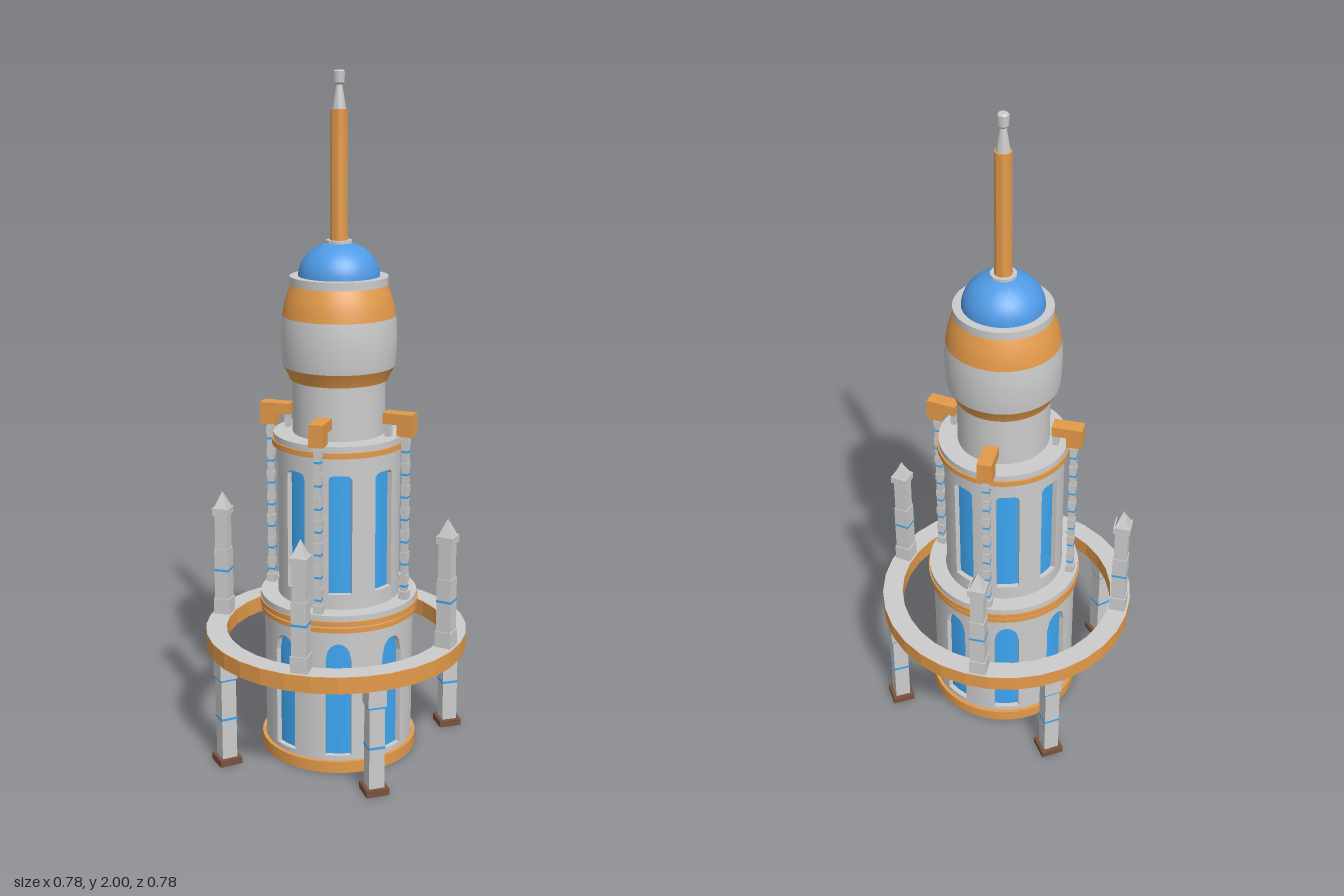
import * as THREE from 'three';
import { mergeGeometries, toCreasedNormals } from 'three/addons/utils/BufferGeometryUtils.js';

const RAD = Math.PI / 180;
const mat = (color, extra = {}) => new THREE.MeshStandardMaterial({ color, ...extra });
const GREY = mat(0xcccccc), GOLD = mat(0xe39a4a), DOME = mat(0x4f9be6);
const GLASS = mat(0x3ea6f2), BROWN = mat(0x7a5240);

function add(parent, name, geometry, material, x = 0, y = 0, z = 0) {
  const mesh = new THREE.Mesh(geometry, material);
  mesh.name = name;
  mesh.position.set(x, y, z);
  parent.add(mesh);
  return mesh;
}

// Turned part; profile runs from bottom to top as [radius, height]
function turned(parent, name, material, profile, segments = 48) {
  const points = profile.map(([r, y]) => new THREE.Vector2(r, y));
  return add(parent, name, toCreasedNormals(new THREE.LatheGeometry(points, segments), 0.6), material);
}

const disc = (parent, name, material, r, y0, y1) =>
  turned(parent, name, material, [[0, y0], [r, y0], [r, y1], [0, y1]]);

const box = (parent, name, material, w, h, d, x, y, z) =>
  add(parent, name, new THREE.BoxGeometry(w, h, d), material, x, y, z);

// Group turned so that its +z points outward at the given angle
function outward(parent, name, angle) {
  const g = new THREE.Group();
  g.name = name;
  g.rotation.y = angle * RAD;
  parent.add(g);
  return g;
}

// Round wall with eight openings, made of narrow curved strips.
// head(t) gives the top of the opening, t from -1 to 1 across it.
function windowWall(radius, depth, bottom, top, sill, halfAngle, turn, head) {
  const pieces = [];
  const strip = (a0, a1, low0, low1, high) => {
    const s = new THREE.Shape([[a0, low0], [a1, low1], [a1, high], [a0, high]].map(p => new THREE.Vector2(...p)));
    pieces.push(new THREE.ExtrudeGeometry(s, { depth, bevelEnabled: false }));
  };
  const n = 10, pier = 45 - 2 * halfAngle;
  for (let bay = 0; bay < 8; bay++) {
    const mid = turn + bay * 45;
    for (let i = 0; i < n; i++) {
      const t0 = -1 + 2 * i / n, t1 = -1 + 2 * (i + 1) / n;
      const a0 = mid + t0 * halfAngle, a1 = mid + t1 * halfAngle;
      strip(a0, a1, bottom, bottom, sill);
      strip(a0, a1, head(t0), head(t1), top);
    }
    for (let i = 0; i < 5; i++) {
      const a = mid + halfAngle + pier * i / 5;
      strip(a, a + pier / 5, bottom, bottom, top);
    }
  }
  const geometry = mergeGeometries(pieces);
  const p = geometry.attributes.position;
  for (let i = 0; i < p.count; i++) {
    const a = p.getX(i) * RAD, r = radius - depth + p.getZ(i);
    p.setXYZ(i, Math.sin(a) * r, p.getY(i), Math.cos(a) * r);
  }
  return toCreasedNormals(geometry, 0.5);
}

function buildTower(parent) {
  const tower = outward(parent, 'tower', 0);
  tower.position.x = 0.01;

  // Lower storey
  disc(tower, 'basePlinth', GOLD, 0.233, 0, 0.035);
  disc(tower, 'lowerGlass', GLASS, 0.207, 0.03, 0.43);
  add(tower, 'lowerWall', windowWall(0.222, 0.022, 0.03, 0.44, 0.05, 10, -12.5,
    t => 0.345 + 0.055 * Math.sqrt(Math.max(0, 1 - t * t))), GREY);
  disc(tower, 'lowerCorniceBase', GOLD, 0.233, 0.438, 0.452);
  disc(tower, 'lowerCorniceMiddle', GREY, 0.226, 0.45, 0.46);
  disc(tower, 'lowerCorniceBand', GOLD, 0.236, 0.458, 0.473);
  disc(tower, 'lowerCorniceTop', GREY, 0.232, 0.473, 0.49);

  // Upper storey
  disc(tower, 'upperGlass', GLASS, 0.166, 0.48, 0.93);
  add(tower, 'upperWall', windowWall(0.181, 0.022, 0.485, 0.94, 0.535, 11, -11,
    t => 0.89 - 0.012 * Math.pow(Math.abs(t), 6)), GREY);
  disc(tower, 'upperCorniceBase', GREY, 0.186, 0.93, 0.945);
  disc(tower, 'upperCorniceBand', GOLD, 0.196, 0.944, 0.96);
  disc(tower, 'upperCorniceTop', GREY, 0.191, 0.96, 0.978);

  // Neck, bulb and dome
  disc(tower, 'neck', GREY, 0.135, 0.97, 1.15);
  turned(tower, 'bulbFoot', GOLD, [[0.13, 1.135], [0.142, 1.135], [0.148, 1.15], [0.162, 1.175]]);
  turned(tower, 'bulb', GREY, [[0.162, 1.175], [0.165, 1.2], [0.167, 1.25], [0.166, 1.29], [0.163, 1.32]]);
  turned(tower, 'bulbShoulder', GOLD, [[0.163, 1.32], [0.158, 1.35], [0.149, 1.38], [0.136, 1.41], [0, 1.41]]);
  disc(tower, 'domeRim', GREY, 0.141, 1.408, 1.432);
  const arc = Array.from({ length: 13 }, (_, i) => {
    const a = i / 12 * Math.PI / 2;
    return [0.117 * Math.cos(a), 1.43 + 0.1 * Math.sin(a)];
  });
  turned(tower, 'dome', DOME, arc);

  // Spire
  disc(tower, 'spireCollar', GREY, 0.037, 1.515, 1.533);
  turned(tower, 'spire', GOLD, [[0.026, 1.53], [0.024, 1.56], [0.024, 1.895], [0, 1.895]], 24);
  turned(tower, 'spireTip', GREY,
    [[0.019, 1.895], [0.017, 1.91], [0.009, 1.96], [0.015, 1.966], [0.016, 1.996], [0.012, 2], [0, 2]], 16);

  // Slim columns carrying the gold brackets
  for (const angle of [17, 98, 197, 286]) {
    const g = outward(tower, 'bracketColumn', angle);
    box(g, 'columnShaft', GREY, 0.018, 0.5, 0.018, 0, 0.738, 0.211);
    for (let i = 0; i < 7; i++) {
      const y = 0.53 + i * 0.068;
      box(g, 'columnBand', GLASS, 0.02, 0.006, 0.02, 0, y, 0.211);
      box(g, 'columnCollar', GREY, 0.022, 0.022, 0.022, 0, y + 0.025, 0.211);
    }
    box(g, 'columnFoot', GREY, 0.026, 0.025, 0.026, 0, 0.502, 0.211);
    box(g, 'bracketHead', GOLD, 0.043, 0.065, 0.046, 0, 1.018, 0.214);
    box(g, 'bracketArm', GOLD, 0.043, 0.032, 0.05, 0, 1.034, 0.172);
    box(g, 'bracketPost', GREY, 0.02, 0.06, 0.016, 0, 0.995, 0.157);
  }
}

// Raised ring with gold sides and grey faces
function buildRing(parent) {
  turned(parent, 'ringBand', mat(0xe39a4a, { flatShading: true }),
    [[0.33, 0.321], [0.392, 0.321], [0.392, 0.37], [0.33, 0.37], [0.33, 0.321]], 32);
  turned(parent, 'ringTop', GREY, [[0.392, 0.3715], [0.33, 0.3715]], 32);
  turned(parent, 'ringUnderside', GREY, [[0.33, 0.3195], [0.392, 0.3195]], 32);
}

function buildPosts(parent) {
  // Legs under the ring
  for (const angle of [50.5, -30.5, 231.5, 139]) {
    const g = outward(parent, 'ringLeg', angle);
    box(g, 'legFoot', BROWN, 0.068, 0.02, 0.068, 0, 0.01, 0.362);
    box(g, 'legShaft', GREY, 0.046, 0.3, 0.046, 0, 0.17, 0.362);
    box(g, 'legCapital', GREY, 0.054, 0.05, 0.054, 0, 0.296, 0.362);
    for (const y of [0.145, 0.268]) box(g, 'legBand', GLASS, 0.049, 0.007, 0.049, 0, y, 0.362);
  }
  // Pinnacles on the ring
  for (const [x, z] of [[0.105, 0.341], [0.357, -0.036], [-0.106, -0.344], [-0.343, 0.104]]) {
    const g = outward(parent, 'pinnacle', Math.atan2(x, z) / RAD);
    const r = Math.hypot(x, z);
    box(g, 'pinnacleFoot', GREY, 0.05, 0.05, 0.05, 0, 0.395, r);
    box(g, 'pinnacleLower', GREY, 0.044, 0.17, 0.044, 0, 0.495, r);
    box(g, 'pinnacleUpper', GREY, 0.039, 0.12, 0.039, 0, 0.635, r);
    box(g, 'pinnacleBand', GLASS, 0.046, 0.007, 0.046, 0, 0.512, r);
    box(g, 'pinnacleCapital', GREY, 0.051, 0.022, 0.051, 0, 0.698, r);
    const cap = new THREE.ConeGeometry(0.042 * 0.72, 0.05, 4, 1);
    cap.rotateY(Math.PI / 4);
    add(g, 'pinnacleTip', cap, mat(0xcccccc, { flatShading: true }), 0, 0.734, r);
  }
}

export function createModel() {
  const model = new THREE.Group();
  model.name = 'tower with ring';
  buildTower(model);
  buildRing(model);
  buildPosts(model);
  return model;
}
